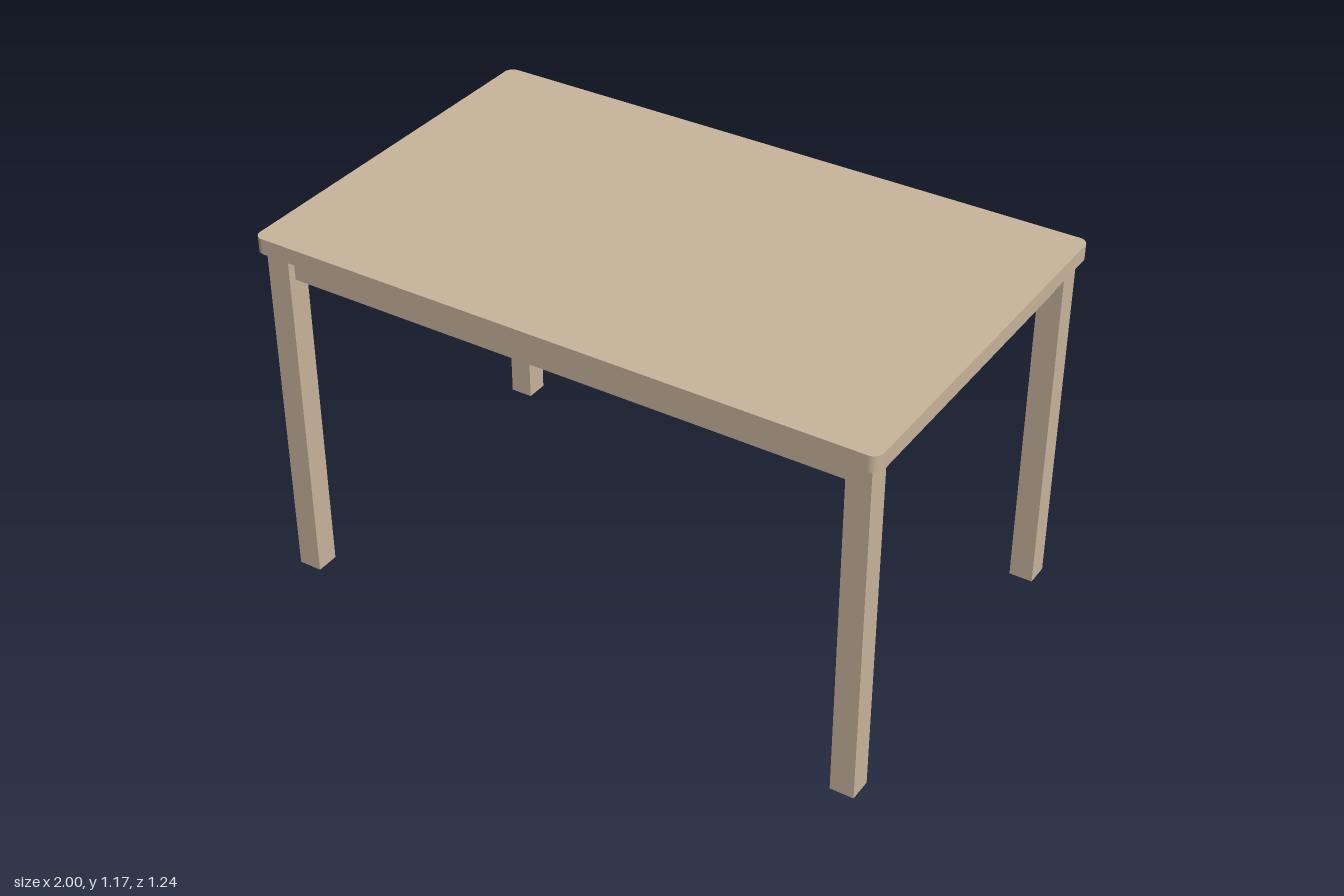
import * as THREE from 'three';

export function createModel() {
  const table = new THREE.Group();
  table.name = 'table';
  const wood = new THREE.MeshStandardMaterial({ color: 0xc8b49c });
  wood.name = 'pale wood';

  const under = 1.12; // underside of the top

  function add(name, geometry, x, y, z) {
    const mesh = new THREE.Mesh(geometry, wood);
    mesh.name = name;
    mesh.position.set(x, y, z);
    table.add(mesh);
  }

  // Table top: a slab with rounded corners
  const w = 1, d = 0.622, r = 0.03;
  const outline = new THREE.Shape();
  outline.absarc(w - r, d - r, r, 0, Math.PI / 2);
  outline.absarc(-w + r, d - r, r, Math.PI / 2, Math.PI);
  outline.absarc(-w + r, -d + r, r, Math.PI, Math.PI * 1.5);
  outline.absarc(w - r, -d + r, r, Math.PI * 1.5, Math.PI * 2);
  const slab = new THREE.ExtrudeGeometry(outline, { depth: 0.05, bevelEnabled: false, curveSegments: 8 });
  slab.rotateX(-Math.PI / 2);
  add('tableTop', slab, 0, under, 0);

  // Square legs, set in from the corners
  const leg = 0.075, legX = 0.9375, legZ = 0.5625;
  for (const sx of [-1, 1]) {
    for (const sz of [-1, 1]) {
      add('leg', new THREE.BoxGeometry(leg, under, leg), sx * legX, under / 2, sz * legZ);
    }
  }

  // Aprons between the legs and two cross rails under the top
  const apronH = 0.085, apronT = 0.025, railH = 0.045;
  for (const s of [-1, 1]) {
    add('longApron', new THREE.BoxGeometry(2 * legX - leg, apronH, apronT), 0, under - apronH / 2, s * legZ);
    add('shortApron', new THREE.BoxGeometry(apronT, apronH, 2 * legZ - leg), s * legX, under - apronH / 2, 0);
    add('crossRail', new THREE.BoxGeometry(0.035, railH, 2 * legZ - apronT), s * 0.38, under - railH / 2, 0);
  }

  return table;
}
